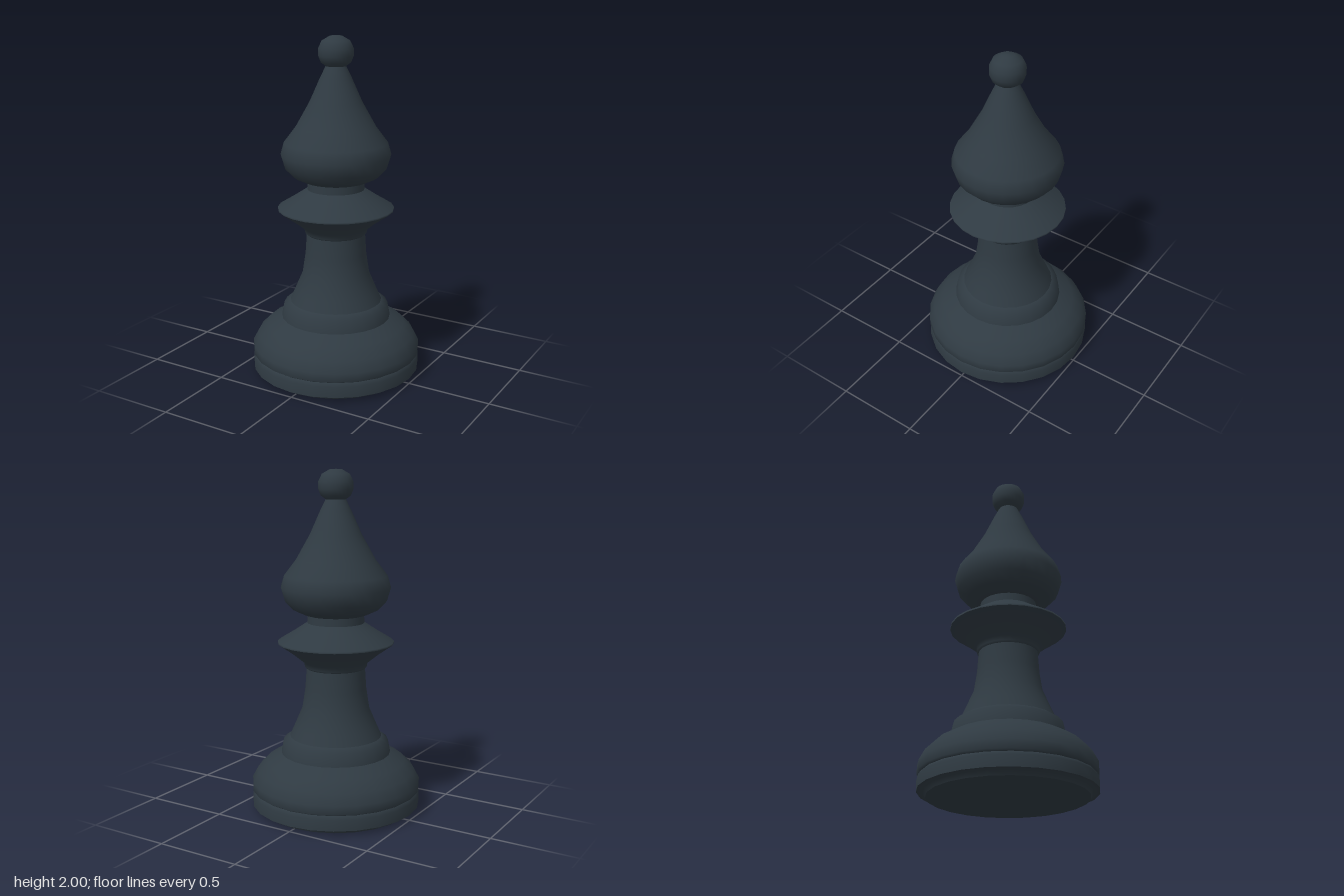
import * as THREE from 'three';

const SIDES = 24;

export function createModel() {
  const group = new THREE.Group();
  const slate = new THREE.MeshStandardMaterial({ color: 0x2f3a42 });
  slate.name = 'dark slate';

  // Turned part from [radius, height] pairs, listed bottom to top
  const turn = (name, profile) => {
    const points = profile.map(([r, y]) => new THREE.Vector2(r, y));
    const mesh = new THREE.Mesh(new THREE.LatheGeometry(points, SIDES), slate);
    mesh.name = name;
    group.add(mesh);
  };

  // Foot: underside, recessed pad and rim
  turn('underside', [[0, 0], [0.45, 0]]);
  turn('footPad', [[0.45, 0], [0.465, 0.025], [0.5, 0.03]]);
  turn('footRim', [[0.5, 0.03], [0.5, 0.095], [0.485, 0.115]]);

  // Rounded base and the step above it
  turn('base', [[0.485, 0.115], [0.5, 0.125], [0.5, 0.175], [0.468, 0.235], [0.41, 0.293], [0.325, 0.34]]);
  turn('baseStep', [[0.325, 0.34], [0.31, 0.415], [0.272, 0.44]]);

  // Stem flaring toward the base
  turn('stem', [[0.272, 0.44], [0.245, 0.5], [0.198, 0.61], [0.18, 0.73], [0.172, 0.85]]);

  // Sharp-edged collar and neck
  turn('collarUnderside', [[0.172, 0.85], [0.183, 0.86], [0.187, 0.885], [0.255, 0.94], [0.34, 1.0]]);
  turn('collarTop', [[0.34, 1.0], [0.34, 1.01], [0.25, 1.065], [0.167, 1.12]]);
  turn('neck', [[0.167, 1.12], [0.165, 1.165]]);

  // Teardrop head
  turn('head', [
    [0.165, 1.165], [0.19, 1.172], [0.25, 1.2], [0.298, 1.25], [0.32, 1.325],
    [0.3, 1.395], [0.23, 1.487], [0.15, 1.63], [0.09, 1.765], [0.058, 1.83],
  ]);

  // Finial ball
  turn('finial', [
    [0.058, 1.83], [0.086, 1.851], [0.1, 1.887], [0.1, 1.93],
    [0.08, 1.972], [0.035, 1.998], [0, 2],
  ]);

  return group;
}
